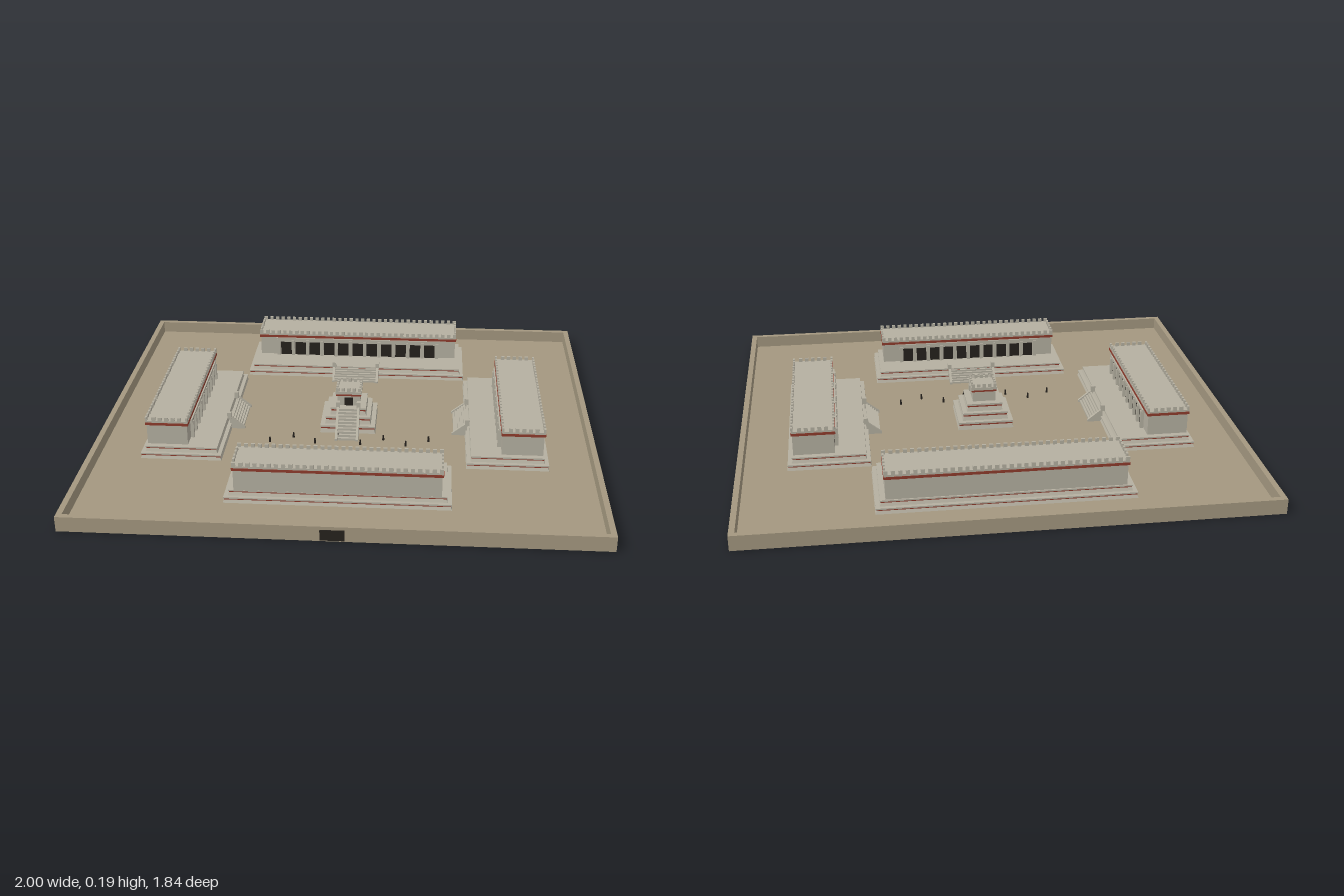
import * as THREE from 'three';
import { mergeGeometries } from 'three/addons/utils/BufferGeometryUtils.js';

const mat = (color) => new THREE.MeshStandardMaterial({ color });
const STONE = mat(0xb4afa0), EARTH = mat(0xa3977f), RED = mat(0x8e3b2c), DARK = mat(0x25211d);
const FLOOR = 0.01;

function add(parent, name, geometry, material) {
  const mesh = new THREE.Mesh(geometry, material);
  mesh.name = name;
  parent.add(mesh);
  return mesh;
}

// Box standing on y0; taper pulls the top edges inwards
function block(w, h, d, x, y0, z, taper = 0) {
  const g = new THREE.BoxGeometry(w, h, d);
  const p = g.attributes.position;
  for (let i = 0; i < p.count; i++) {
    if (p.getY(i) < 0) continue;
    p.setX(i, p.getX(i) - Math.sign(p.getX(i)) * taper);
    p.setZ(i, p.getZ(i) - Math.sign(p.getZ(i)) * taper);
  }
  g.translate(x, y0 + h / 2, z);
  g.computeVertexNormals();
  return g;
}

// Stepped tier: sloped base, red band, projecting rim
function tier(parent, name, w, h, d, y0, z) {
  add(parent, name + 'Slope', block(w, h * 0.55, d, 0, y0, z, 0.006), STONE);
  add(parent, name + 'RedBand', block(w - 0.008, h * 0.2, d - 0.008, 0, y0 + h * 0.55, z), RED);
  add(parent, name + 'Rim', block(w - 0.003, h * 0.25, d - 0.003, 0, y0 + h * 0.75, z), STONE);
}

// Side profile in (z, y), extruded across x
function extrudeAcross(points, width, x) {
  const shape = new THREE.Shape(points.map(([z, y]) => new THREE.Vector2(z, y)));
  const g = new THREE.ExtrudeGeometry(shape, { depth: width, bevelEnabled: false });
  g.rotateY(-Math.PI / 2);
  return g.translate(x + width / 2, 0, 0);
}

// Stair rising from z = zFoot to z = zTop, with sloping side walls and end blocks
function stair(parent, width, zFoot, zTop, y0, y1, steps) {
  const g = new THREE.Group();
  g.name = 'stair';
  parent.add(g);
  const run = (zFoot - zTop) / steps, rise = (y1 - y0) / steps;
  const pts = [[zTop, y0], [zFoot, y0]];
  for (let i = 0; i < steps; i++) {
    pts.push([zFoot - i * run, y0 + (i + 1) * rise], [zFoot - (i + 1) * run, y0 + (i + 1) * rise]);
  }
  add(g, 'steps', extrudeAcross(pts, width, 0), STONE);
  const side = [[zTop - 0.005, y0], [zFoot + 0.006, y0], [zFoot + 0.006, y0 + 0.008],
    [zTop, y1 + 0.008], [zTop - 0.005, y1 + 0.008]];
  for (const s of [-1, 1]) {
    const x = s * (width / 2 + 0.003);
    add(g, 'balustrade', extrudeAcross(side, 0.01, x), STONE);
    add(g, 'balustradeBlock', block(0.016, 0.026, 0.018, x, y1, zTop - 0.005), STONE);
  }
}

// Ring of merlons around a rectangular roof
function merlons(parent, w, d, y0, z, spacing, size, h) {
  const parts = [];
  const nx = Math.round((w - size) / spacing), nz = Math.round((d - size) / spacing);
  const t = 0.008;
  for (let i = 0; i <= nx; i++) {
    const x = -(w - size) / 2 + (i * (w - size)) / nx;
    for (const s of [-1, 1]) parts.push(block(size, h, t, x, y0, z + s * (d - t) / 2));
  }
  for (let i = 1; i < nz; i++) {
    const dz = -(d - size) / 2 + (i * (d - size)) / nz;
    for (const s of [-1, 1]) parts.push(block(t, h, size, s * (w - t) / 2, y0, z + dz));
  }
  add(parent, 'merlons', mergeGeometries(parts), STONE);
}

// Long hall on a two-tier platform; the platform's front edge is z = 0, facing +z
function createHall({ name, length, depth, hallLength, hallFront, hallBack, pillars, pillarSpan }) {
  const g = new THREE.Group();
  g.name = name;
  const top = 0.056, h = (top - FLOOR) / 2;
  tier(g, 'lowerTier', length, h, depth, FLOOR, -depth / 2);
  tier(g, 'upperTier', length - 0.034, h, depth - 0.034, FLOOR + h, -depth / 2);
  stair(g, 0.19, 0.048, -0.004, FLOOR, top, 6);

  const d = hallBack - hallFront, z = -(hallFront + hallBack) / 2;
  add(g, 'hallWalls', block(hallLength - 0.008, 0.142 - top, d - 0.008, 0, top, z), STONE);
  add(g, 'redFrieze', block(hallLength + 0.002, 0.011, d + 0.002, 0, 0.14, z), RED);
  add(g, 'roof', block(hallLength, 0.008, d, 0, 0.151, z), STONE);
  merlons(g, hallLength, d, 0.158, z, 0.027, 0.015, 0.016);

  // Colonnade with dark doorways between the pillars
  const step = pillarSpan / (pillars - 1), posts = [], doors = [];
  for (let i = 0; i < pillars; i++) {
    const x = -pillarSpan / 2 + i * step;
    posts.push(block(0.014, 0.13 - top, 0.014, x, top, -hallFront + 0.004));
    if (i < pillars - 1) doors.push(block(step - 0.018, 0.06, 0.004, x + step / 2, top, -hallFront + 0.004 - 0.006));
  }
  add(g, 'pillars', mergeGeometries(posts), STONE);
  add(g, 'doorways', mergeGeometries(doors), DARK);
  add(g, 'lintel', block(pillarSpan + 0.03, 0.012, 0.012, 0, 0.128, -hallFront + 0.001), STONE);
  return g;
}

// Central stepped shrine
function createShrine() {
  const g = new THREE.Group();
  g.name = 'centralShrine';
  const h = 0.032;
  [0.23, 0.19, 0.15].forEach((w, i) => tier(g, 'shrineTier' + (i + 1), w, h, w, FLOOR + i * h, 0));
  const top = FLOOR + 3 * h;
  stair(g, 0.08, 0.18, 0.073, FLOOR, top, 10);
  add(g, 'shrineWalls', block(0.094, 0.05, 0.094, 0, top, 0), STONE);
  add(g, 'shrineDoor', block(0.036, 0.036, 0.004, 0, top, 0.047), DARK);
  add(g, 'shrineFrieze', block(0.104, 0.008, 0.104, 0, 0.15, 0), RED);
  add(g, 'shrineRoof', block(0.108, 0.012, 0.108, 0, 0.158, 0), STONE);
  merlons(g, 0.104, 0.104, 0.169, 0, 0.022, 0.013, 0.016);
  return g;
}

export function createModel() {
  const model = new THREE.Group();
  model.name = 'walledPlaza';

  // Ground slab, enclosure wall and gate
  const W = 2, D = 1.84, T = 0.022;
  add(model, 'ground', block(W, FLOOR, D, 0, 0, 0), EARTH);
  for (const s of [-1, 1]) {
    add(model, 'enclosureWall', block(W, 0.06, T, 0, 0, s * (D - T) / 2), EARTH);
    add(model, 'enclosureWall', block(T, 0.06, D - 2 * T, s * (W - T) / 2, 0, 0), EARTH);
  }
  add(model, 'gate', block(0.09, 0.042, T + 0.008, 0, 0.005, (D - T) / 2), DARK);

  // Four halls facing the plaza
  const back = createHall({ name: 'backHall', length: 0.975, depth: 0.33, hallLength: 0.905,
    hallFront: 0.14, hallBack: 0.31, pillars: 12, pillarSpan: 0.73 });
  back.position.z = -0.425;
  const front = createHall({ name: 'frontHall', length: 0.855, depth: 0.3, hallLength: 0.785,
    hallFront: 0.128, hallBack: 0.285, pillars: 11, pillarSpan: 0.615 });
  front.position.z = 0.4;
  front.rotation.y = Math.PI;
  model.add(back, front);
  for (const s of [-1, 1]) {
    const side = createHall({ name: s > 0 ? 'leftHall' : 'rightHall', length: 0.765, depth: 0.325,
      hallLength: 0.69, hallFront: 0.135, hallBack: 0.305, pillars: 10, pillarSpan: 0.545 });
    side.position.x = s * 0.485;
    side.rotation.y = -s * Math.PI / 2;
    model.add(side);
  }
  model.add(createShrine());

  // Small standing figures in the plaza
  for (let i = 0; i < 8; i++) {
    const figure = new THREE.Group();
    figure.name = 'figure';
    const body = new THREE.CylinderGeometry(0.003, 0.005, 0.018, 8).translate(0, 0.009, 0);
    add(figure, 'figureBody', body, DARK);
    add(figure, 'figureHead', new THREE.SphereGeometry(0.0035, 8, 6).translate(0, 0.02, 0), DARK);
    figure.position.set(-0.312 + i * 0.0925, FLOOR, i % 2 ? 0.165 : 0.21);
    model.add(figure);
  }
  return model;
}
